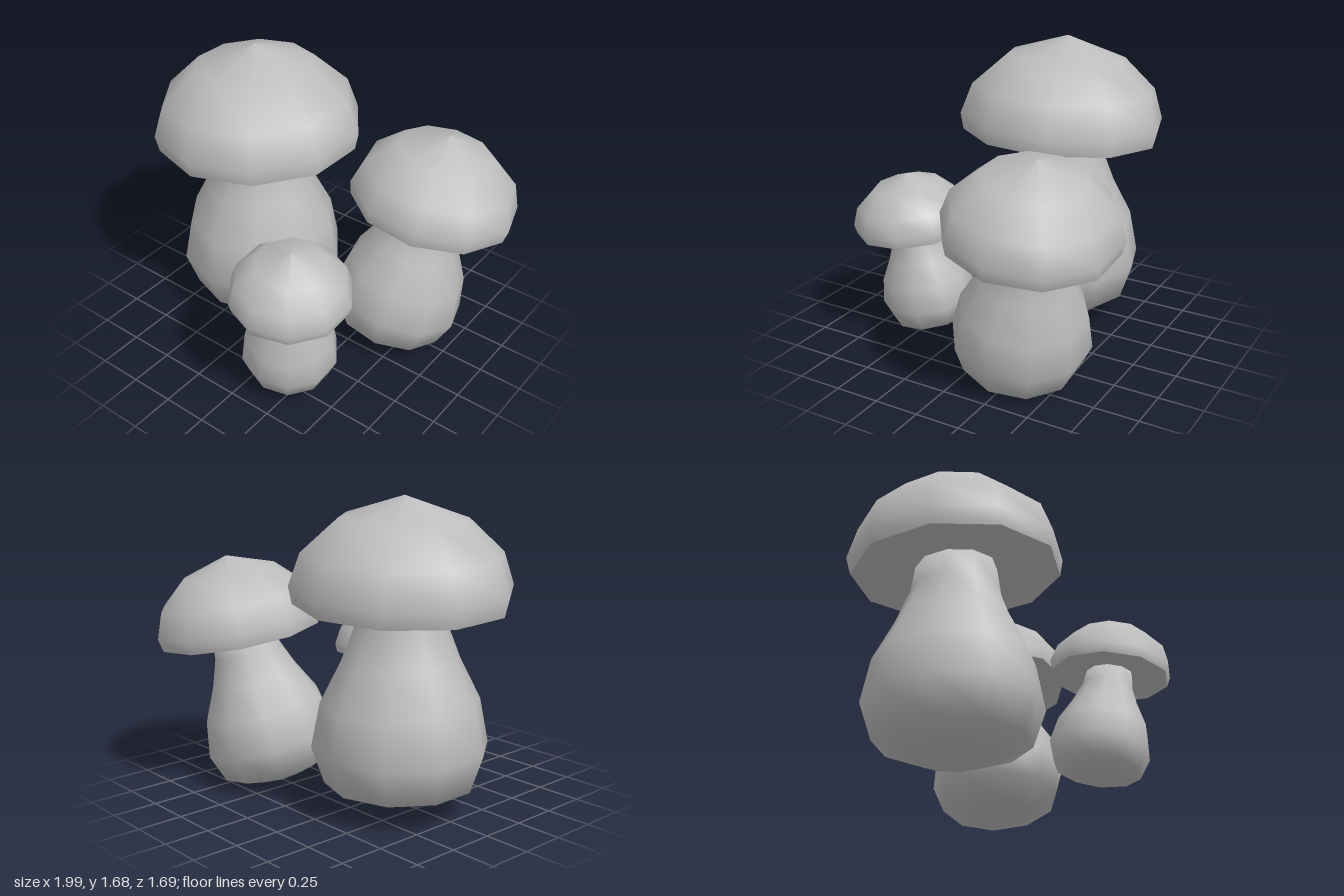
import * as THREE from 'three';

const SIDES = 10;
const UP = new THREE.Vector3(0, 1, 0);

// Shared profiles as [radius, height], running from the bottom up
const STEM = [[0, 0], [0.2, 0], [0.405, 0.08], [0.473, 0.28], [0.426, 0.52],
  [0.315, 0.74], [0.242, 0.93], [0.219, 1.085], [0, 1.085]];
const DOME = [[0.565, 0], [0.585, 0.092], [0.526, 0.265], [0.336, 0.44], [0, 0.555]];
const UNDERSIDE = [[0, 0.04], [0.44, 0.04], [0.565, 0]];

const MUSHROOMS = [
  { name: 'largeMushroom', scale: 1, yaw: 0,
    base: [-0.435, 0.08, -0.06], stemAxis: [0, 1, 0],
    cap: [-0.436, 1.12, -0.06], capAxis: [-0.056, 1, -0.03] },
  { name: 'mediumMushroom', scale: 0.803, yaw: Math.PI / 2,
    base: [0.365, 0.038, -0.235], stemAxis: [0.18, 1, -0.18],
    cap: [0.518, 0.86, -0.388], capAxis: [0.11, 1, -0.13] },
  { name: 'smallMushroom', scale: 0.57, yaw: 0,
    base: [0.165, 0.072, 0.445], stemAxis: [0.13, 1, 0.115],
    cap: [0.24, 0.655, 0.515], capAxis: [0.07, 1, 0.083] },
];

function lathe(name, profile, material) {
  const points = profile.map(([r, y]) => new THREE.Vector2(r, y));
  const mesh = new THREE.Mesh(new THREE.LatheGeometry(points, SIDES), material);
  mesh.name = name;
  return mesh;
}

// Scale a part, turn it about its own axis, then lean it along the given axis
function place(part, position, axis, scale, yaw) {
  const lean = new THREE.Quaternion().setFromUnitVectors(UP, new THREE.Vector3(...axis).normalize());
  const turn = new THREE.Quaternion().setFromAxisAngle(UP, yaw);
  part.quaternion.copy(lean).multiply(turn);
  part.position.set(...position);
  part.scale.setScalar(scale);
  return part;
}

export function createModel() {
  const grey = new THREE.MeshStandardMaterial({ color: 0xbcbcbc });
  grey.name = 'plain grey';

  const model = new THREE.Group();
  model.name = 'mushroomCluster';

  for (const m of MUSHROOMS) {
    const mushroom = new THREE.Group();
    mushroom.name = m.name;

    // Bulbous stem
    mushroom.add(place(lathe('stem', STEM, grey), m.base, m.stemAxis, m.scale, m.yaw));

    // Domed cap with a shallow hollow below
    const cap = new THREE.Group();
    cap.name = 'cap';
    cap.add(lathe('capDome', DOME, grey), lathe('capUnderside', UNDERSIDE, grey));
    mushroom.add(place(cap, m.cap, m.capAxis, m.scale, m.yaw));

    model.add(mushroom);
  }
  return model;
}
